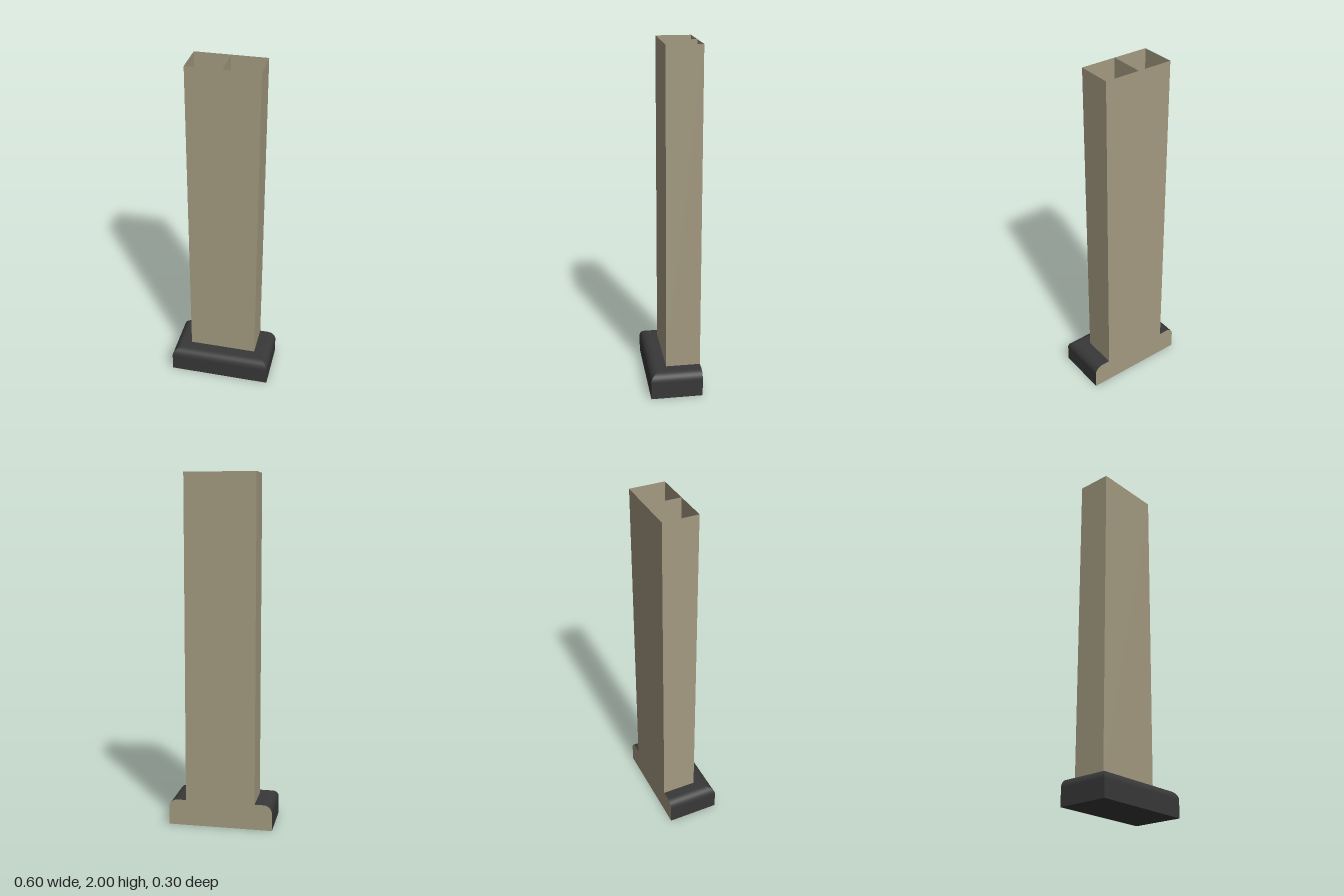
import * as THREE from 'three';

const W = 0.3, D = 0.15, H = 0.15, R = 0.05;   // base half width, half depth, height, edge radius
const CW = 0.2, CF = 0.05, TOP = 2;            // column half width, front z, top y

const tan = new THREE.MeshStandardMaterial({ color: 0xa39a80, side: THREE.DoubleSide });
const dark = new THREE.MeshStandardMaterial({ color: 0x383838, side: THREE.DoubleSide });

function add(group, name, geometry, material) {
  const mesh = new THREE.Mesh(geometry, material);
  mesh.name = name;
  group.add(mesh);
  return mesh;
}

// Corner of the base outline, pulled in by d on the front and both sides (the back stays flat)
const corner = (i, d) => [
  [-W + d, -D], [-W + d, D - d], [W - d, D - d], [W - d, -D],
][i];

// One side of the base: upright wall, then a rounded upper edge, mitred at the corners
function baseSide(i, outX, outZ) {
  const steps = 10, pos = [], nor = [], index = [];
  for (let r = -1; r <= steps; r++) {
    const a = Math.max(r, 0) / steps * Math.PI / 2;
    const y = r < 0 ? 0 : H - R + R * Math.sin(a);
    const inset = R * (1 - Math.cos(a));
    for (const k of [i, i + 1]) {
      const [x, z] = corner(k, inset);
      pos.push(x, y, z);
      nor.push(outX * Math.cos(a), Math.sin(a), outZ * Math.cos(a));
    }
    if (r >= 0) {
      const n = (r + 1) * 2;
      index.push(n - 2, n - 1, n + 1, n - 2, n + 1, n);
    }
  }
  const g = new THREE.BufferGeometry();
  g.setAttribute('position', new THREE.Float32BufferAttribute(pos, 3));
  g.setAttribute('normal', new THREE.Float32BufferAttribute(nor, 3));
  g.setIndex(index);
  return g;
}

export function createModel() {
  const model = new THREE.Group();

  // Base with rounded upper edges
  const base = new THREE.Group();
  base.name = 'base';
  model.add(base);
  add(base, 'baseRightSide', baseSide(0, -1, 0), dark);
  add(base, 'baseFront', baseSide(1, 0, 1), dark);
  add(base, 'baseLeftSide', baseSide(2, 1, 0), dark);
  add(base, 'baseTop', new THREE.PlaneGeometry(2 * (W - R), 2 * D - R)
    .rotateX(-Math.PI / 2).translate(0, H, -R / 2), dark);
  add(base, 'baseBottom', new THREE.PlaneGeometry(2 * W, 2 * D).rotateX(Math.PI / 2), dark);

  // Hollow column, open at the top, with a divider down the middle
  const column = new THREE.Group();
  column.name = 'column';
  model.add(column);
  const h = TOP - H, midY = (TOP + H) / 2, depth = CF + D, midZ = (CF - D) / 2;
  add(column, 'columnFront', new THREE.PlaneGeometry(2 * CW, h).translate(0, midY, CF), tan);
  for (const [name, x] of [['columnLeftSide', CW], ['columnRightSide', -CW], ['columnDivider', 0]]) {
    add(column, name, new THREE.PlaneGeometry(depth, h)
      .rotateY(x < 0 ? -Math.PI / 2 : Math.PI / 2).translate(x, midY, midZ), tan);
  }

  // Flat back panel covering both column and base
  const s = new THREE.Shape();
  s.moveTo(-W, 0);
  s.lineTo(W, 0);
  s.lineTo(W, H - R);
  s.absarc(W - R, H - R, R, 0, Math.PI / 2, false);
  s.lineTo(CW, H);
  s.lineTo(CW, TOP);
  s.lineTo(-CW, TOP);
  s.lineTo(-CW, H);
  s.lineTo(-W + R, H);
  s.absarc(-W + R, H - R, R, Math.PI / 2, Math.PI, false);
  add(model, 'backPanel', new THREE.ShapeGeometry(s, 10).rotateY(Math.PI).translate(0, 0, -D), tan);

  return model;
}
